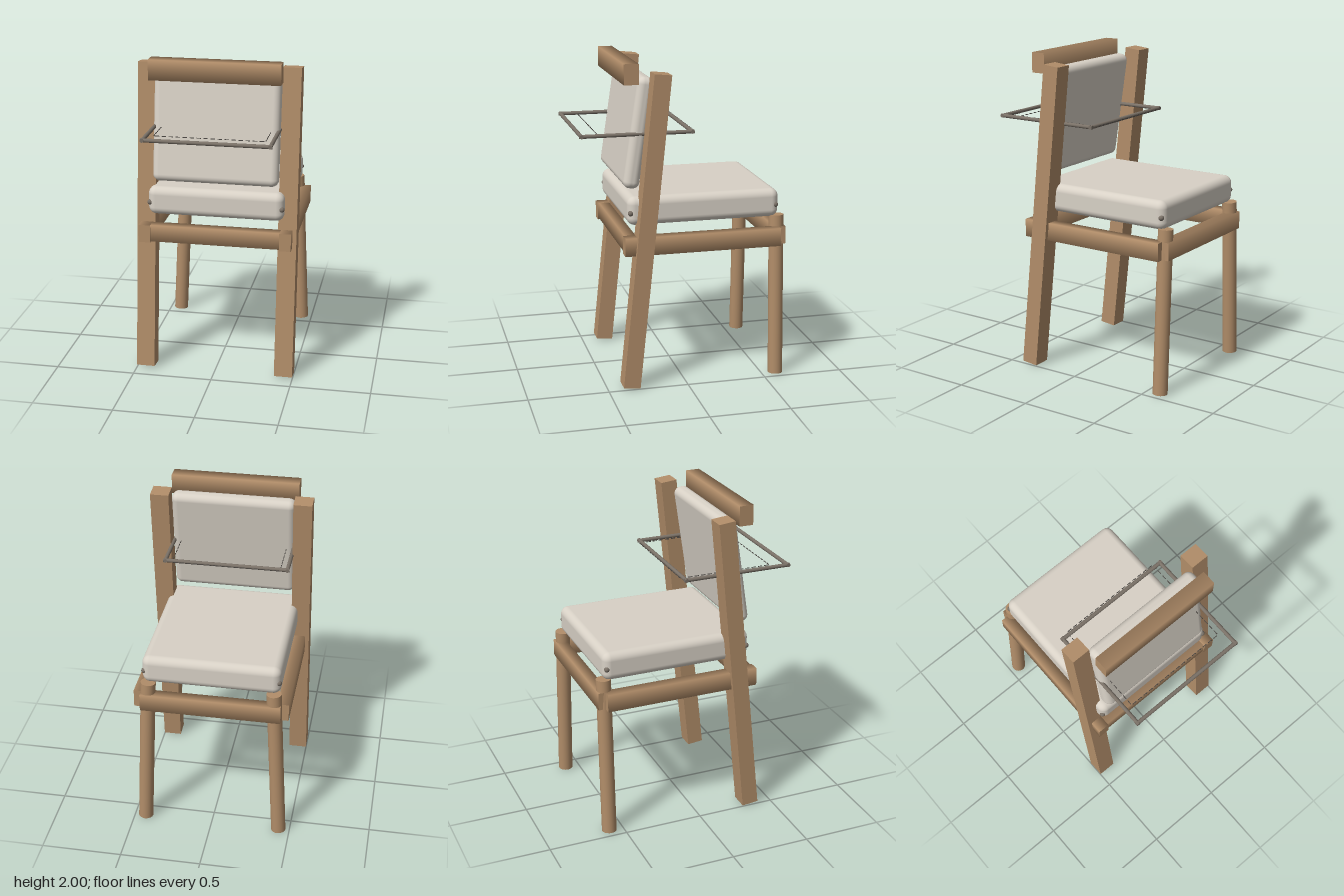
import * as THREE from 'three';
import { RoundedBoxGeometry } from 'three/addons/geometries/RoundedBoxGeometry.js';

const mat = (name, color) => Object.assign(new THREE.MeshStandardMaterial({ color }), { name });

export function createModel() {
  const wood = mat('wood', 0xb18d69);
  const fabric = mat('fabric', 0xd8d1c6);
  const metal = mat('metal', 0x7a7167);
  const thread = mat('thread', 0x4a4642);
  const chair = new THREE.Group();
  chair.name = 'chair';

  const add = (name, geometry, material, x, y, z, parent = chair) => {
    const mesh = new THREE.Mesh(geometry, material);
    mesh.name = name;
    mesh.position.set(x, y, z);
    parent.add(mesh);
    return mesh;
  };

  // Soft-shaded four-sided beam with flat ends, running along x or z
  const beam = (axis, w, h, d) => {
    const g = new THREE.CylinderGeometry(Math.SQRT1_2, Math.SQRT1_2, 1, 4, 1, false, Math.PI / 4);
    if (axis === 'x') g.rotateZ(Math.PI / 2);
    else g.rotateX(Math.PI / 2);
    return g.scale(w, h, d);
  };

  // Round rod between two points
  const rod = (name, a, b, radius, material, parent) => {
    const from = new THREE.Vector3(...a), to = new THREE.Vector3(...b);
    const dir = to.clone().sub(from);
    const mid = from.clone().add(to).multiplyScalar(0.5);
    const g = new THREE.CylinderGeometry(radius, radius, dir.length(), 20);
    const mesh = add(name, g, material, mid.x, mid.y, mid.z, parent);
    mesh.quaternion.setFromUnitVectors(new THREE.Vector3(0, 1, 0), dir.normalize());
    return mesh;
  };

  for (const s of [-1, 1]) {
    const side = s > 0 ? 'left' : 'right';
    // Leaning square posts
    const post = add(`${side}Post`, new THREE.BoxGeometry(0.115, 1.945, 0.105), wood, s * 0.4425, 0.978, 0.255);
    post.rotation.x = -0.103;
    // Splayed round legs
    rod(`${side}RoundLeg`, [s * 0.43, 0.002, -0.59], [s * 0.383, 1.03, -0.59], 0.046, wood);
    // Side rails
    add(`${side}SideRail`, beam('z', 0.072, 0.112, 0.98), wood, s * 0.439, 0.905, -0.105);
    // Seat studs
    for (const z of [-0.575, 0.338])
      add(`${side}SeatStud`, new THREE.SphereGeometry(0.017, 16, 12), metal, s * 0.41, 1.1, z);
  }

  // Cross rails and top rail
  add('legRail', beam('x', 0.86, 0.11, 0.07), wood, 0, 0.905, -0.604);
  add('postRail', beam('x', 0.82, 0.106, 0.068), wood, 0, 0.907, 0.341);
  add('topRail', beam('x', 0.8, 0.125, 0.09), wood, 0, 1.9375, 0.325);

  // Cushions
  add('seatCushion', new RoundedBoxGeometry(0.845, 0.178, 0.952, 6, 0.048), fabric, 0, 1.109, -0.121);
  const back = add('backCushion', new RoundedBoxGeometry(0.775, 0.68, 0.1, 6, 0.042), fabric, 0, 1.577, 0.275);
  back.rotation.x = -0.15;

  // Horizontal wire frame passing through the back
  const frame = new THREE.Group();
  frame.name = 'wireFrame';
  chair.add(frame);
  const y = 1.577, r = 0.012, hx = 0.379, z0 = -0.052, z1 = 0.624;
  for (const z of [z0, z1]) rod('frameCrossRod', [-hx - r, y, z], [hx + r, y, z], r, metal, frame);
  for (const s of [-1, 1]) rod('frameSideRod', [s * hx, y, z0 - r], [s * hx, y, z1 + r], r, metal, frame);

  // Dashed thread outline in the plane of the frame
  const dashes = new THREE.Group();
  dashes.name = 'dashedOutline';
  chair.add(dashes);
  const dashRow = (length, place, alongX) => {
    const n = Math.round(length / 0.041), step = length / n, t = 0.004;
    for (let i = 0; i < n; i++) {
      const u = -length / 2 + (i + 0.5) * step;
      const g = new THREE.BoxGeometry(alongX ? step * 0.65 : t, t, alongX ? t : step * 0.65);
      add('dash', g, thread, ...place(u), dashes);
    }
  };
  for (const z of [-0.07, 0.52]) dashRow(0.67, (u) => [u, y, z], true);
  for (const x of [-0.335, 0.335]) dashRow(0.59, (u) => [x, y, 0.225 + u], false);

  return chair;
}
